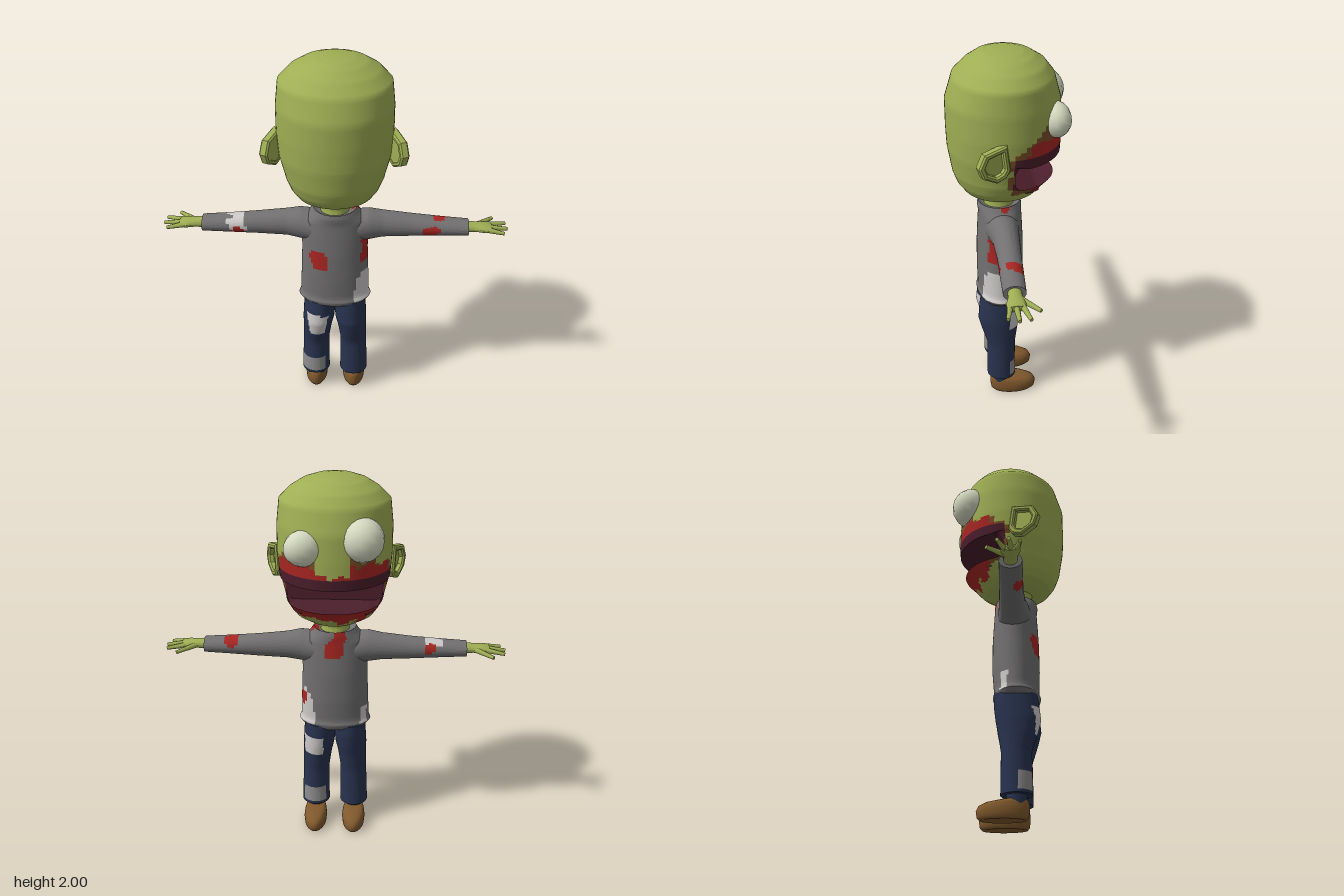
import * as THREE from 'three';
import { toCreasedNormals } from 'three/addons/utils/BufferGeometryUtils.js';

const SEG = 64;
const V = (x, y, z) => new THREE.Vector3(x, y, z);
const mat = (name, color) => {
  const m = new THREE.MeshStandardMaterial({ color });
  m.name = name;
  return m;
};

// Skins closed rings from low to high; pick(centre, band) chooses each face's material
function loft(name, rings, mats, pick = () => 0, sub = 5) {
  const rows = [], bands = [];
  rings.forEach((r, k) => {
    if (k === rings.length - 1) { rows.push(r); return; }
    for (let s = 0; s < sub; s++) {
      rows.push(r.map((p, i) => p.clone().lerp(rings[k + 1][i], s / sub)));
      bands.push(k);
    }
  });
  const n = rings[0].length, pts = rows.flat(), faces = mats.map(() => []);
  const mid = (...ids) => ids.reduce((a, i) => a.add(pts[i]), V(0, 0, 0)).divideScalar(ids.length);
  bands.forEach((k, j) => {
    for (let i = 0; i < n; i++) {
      const a = j * n + i, b = j * n + (i + 1) % n, c = b + n, d = a + n;
      faces[pick(mid(a, b, c, d), k)].push(a, b, c, a, c, d);
    }
  });
  // end caps
  const top = (rows.length - 1) * n, c0 = pts.length;
  for (const start of [0, top]) {
    const c = rows[start / n].reduce((a, p) => a.add(p), V(0, 0, 0)).divideScalar(n);
    pts.push(c);
  }
  for (let i = 0; i < n; i++) {
    const i2 = (i + 1) % n;
    faces[pick(pts[c0], 0)].push(c0, i2, i);
    faces[pick(pts[c0 + 1], rings.length - 2)].push(c0 + 1, top + i, top + i2);
  }
  const geo = new THREE.BufferGeometry().setFromPoints(pts);
  geo.setIndex(faces.flat());
  let start = 0;
  faces.forEach((f, m) => { if (f.length) geo.addGroup(start, f.length, m); start += f.length; });
  const mesh = new THREE.Mesh(toCreasedNormals(geo, 0.9), mats);
  mesh.name = name;
  return mesh;
}

const circle = (fn, n = SEG) => Array.from({ length: n }, (_, i) => {
  const a = i / n * Math.PI * 2;
  return fn(Math.sin(a), Math.cos(a));
});
// Upright ring: height, centre x, half width, back z, face-side z
const ring = ([y, cx, rx, zb, zf]) =>
  circle((s, c) => V(cx + rx * s, y, (zb + zf) / 2 + (zb - zf) / 2 * c));
// Sideways ring: distance out, centre y, half height, z range
const sideRing = side => ([t, cy, ry, zb, zf]) =>
  circle((s, c) => V(side * t, cy - side * ry * s, (zb + zf) / 2 + (zb - zf) / 2 * c));

const wobble = p => 0.012 * Math.sin(p.x * 60 + p.y * 35) + 0.008 * Math.sin(p.z * 90 - p.y * 70);
const near = (p, x, y, z, r) => p.distanceTo(V(x, y, z)) < r + wobble(p) * 0.6;

export function createModel() {
  const model = new THREE.Group();
  const skin = mat('skin', 0x9fae54), shirt = mat('shirt grey', 0x727070), denim = mat('denim', 0x28334f),
    leather = mat('shoe leather', 0x80592d), cloth = mat('torn cloth', 0xcdc9c9), grey = mat('grey patch', 0x8f8d8d),
    eyeWhite = mat('eye', 0xd5dac0), blood = mat('blood', 0xa82622), stain = mat('dried stain', 0x7a4f28),
    mouth = mat('mouth', 0x4b1e2c);
  const add = (...m) => model.add(...m);

  // Head: y, half width, back z, face z, mouth cut depth, height inside the mouth
  const headRings = [
    [1.243, 0.07, 0.11, -0.08], [1.252, 0.14, 0.17, -0.125], [1.28, 0.2, 0.225, -0.16],
    [1.32, 0.228, 0.255, -0.195], [1.37, 0.25, 0.275, -0.235, null, 1.36],
    [1.38, 0.253, 0.278, -0.235, -0.14, 1.325], [1.40, 0.257, 0.282, -0.24, -0.02, 1.36],
    [1.45, 0.27, 0.29, -0.25, -0.015, 1.45], [1.49, 0.28, 0.297, -0.26, -0.06, 1.53],
    [1.51, 0.283, 0.3, -0.267, null, 1.49], [1.545, 0.286, 0.302, -0.27],
    [1.62, 0.292, 0.305, -0.27], [1.76, 0.291, 0.305, -0.265], [1.88, 0.278, 0.268, -0.232],
    [1.935, 0.225, 0.215, -0.19], [1.975, 0.16, 0.16, -0.13], [1.993, 0.1, 0.12, -0.08], [2, 0.05, 0.07, -0.03],
  ].map(([y, rx, zb, zf, clip = null, ym = y]) => circle((s, c) => {
    const z = (zb + zf) / 2 + (zb - zf) / 2 * c;
    const w = THREE.MathUtils.clamp(-z / 0.08, 0, 1);
    const x = rx * s * (clip === null ? 1 : 1 - 0.1 * w);
    return V(x, y + (ym - y) * w, clip === null ? z : Math.max(z, clip));
  }));
  const headPaint = (p, k) => {
    const { x, y, z } = p, wob = wobble(p);
    if (k >= 4 && k <= 9 && z < -0.012) return 3;
    if (z > 0.015 + wob) return 0;
    if (k < 4) {
      if (z < -0.1 && y > (x < 0 ? 1.285 : 1.31) + wob) return 1;
      return y > 1.33 + wob && k === 3 ? 2 : 0;
    }
    if (k < 10) return 2;
    const limit = x > 0 ? 1.54 - z * 0.85 : 1.54 - z * 0.45;
    if (Math.abs(x) < 0.09) return y < 1.565 + wob ? 1 : 0;
    if (z < -0.08 && y < 1.61 + wob) return 1;
    return y < limit + wob && y < 1.7 ? 2 : 0;
  };
  add(loft('head', headRings, [skin, blood, stain, mouth], headPaint, 6));

  // Bulging eyes of unequal size
  for (const [name, x, y, z, rx, ry, rz] of [
    ['leftEye', 0.14, 1.69, -0.218, 0.1, 0.09, 0.078],
    ['rightEye', -0.14, 1.73, -0.2, 0.11, 0.11, 0.105]]) {
    const eye = new THREE.Mesh(new THREE.SphereGeometry(1, 14, 10), eyeWhite);
    eye.name = name;
    eye.position.set(x, y, z);
    eye.scale.set(rx, ry, rz);
    eye.rotation.y = x > 0 ? 0.3 : -0.3;
    add(eye);
  }

  // Ears: a rim around a sunken plate, flared outwards
  const outline = [[0, 1.5], [0.025, 1.465], [0.075, 1.45], [0.15, 1.49], [0.172, 1.545], [0.14, 1.61], [0.02, 1.635]]
    .map(([u, v]) => new THREE.Vector2(u, v));
  const inner = outline.map(p => new THREE.Vector2(0.08 + (p.x - 0.08) * 0.62, 1.54 + (p.y - 1.54) * 0.65));
  const rim = new THREE.Shape(outline);
  rim.holes.push(new THREE.Path(inner));
  const extrude = (shape, depth, bevel) => new THREE.ExtrudeGeometry(shape,
    { depth, bevelEnabled: bevel > 0, bevelSize: bevel, bevelThickness: bevel, bevelOffset: -bevel, bevelSegments: 1 });
  for (const side of [1, -1]) {
    const ear = new THREE.Group(), tilt = new THREE.Group();
    ear.name = side > 0 ? 'leftEar' : 'rightEar';
    const plate = new THREE.Mesh(extrude(new THREE.Shape(inner.map(p =>
      new THREE.Vector2(0.08 + (p.x - 0.08) * 1.15, 1.54 + (p.y - 1.54) * 1.15))), 0.015, 0), skin);
    plate.position.z = 0.02;
    plate.name = 'earHollow';
    const edge = new THREE.Mesh(extrude(rim, 0.03, 0.008), skin);
    edge.name = 'earRim';
    tilt.add(edge, plate);
    tilt.rotation.y = -Math.PI / 2 + 0.42;
    tilt.position.set(0.29, 0, 0.01);
    ear.add(tilt);
    ear.scale.x = side;
    add(ear);
  }

  // Neck
  add(loft('neck', [[1.15, 0, 0.08, 0.125, -0.04], [1.21, 0, 0.072, 0.115, -0.03], [1.27, 0, 0.09, 0.135, -0.06]]
    .map(ring), [skin]));

  // Jumper body with patches and stains
  add(loft('jumper', [
    [0.615, 0, 0.15, 0.14, -0.06], [0.63, 0, 0.18, 0.16, -0.075], [0.65, 0, 0.195, 0.166, -0.082],
    [0.67, 0, 0.185, 0.158, -0.075], [0.8, 0, 0.18, 0.162, -0.085], [0.95, 0, 0.174, 0.16, -0.085],
    [1.05, 0, 0.175, 0.155, -0.08], [1.13, 0, 0.165, 0.15, -0.075], [1.17, 0, 0.128, 0.155, -0.075],
    [1.195, 0, 0.112, 0.15, -0.07], [1.18, 0, 0.085, 0.13, -0.05],
  ].map(ring), [shirt, blood, cloth], p => {
    const { x, y, z } = p;
    if (near(p, -0.085, 0.915, 0.15, 0.06) || near(p, 0.18, 0.79, -0.01, 0.042) || near(p, 0, 1.1, -0.08, 0.055)
      || near(p, 0.09, 1.18, 0.02, 0.04) || near(p, -0.03, 1.17, -0.08, 0.04)) return 1;
    if (x > 0.14 && y > 0.9 && y < 1.03 && z > 0.04 && z < 0.13) return 1;
    if (y > 0.645 && y < 0.83 + wobble(p) && x > 0.1 + (y - 0.65) * 0.15) return 2;
    return x < -0.14 && z < 0 && y > 0.65 && y < 0.75 ? 2 : 0;
  }));

  for (const side of [1, -1]) {
    const word = side > 0 ? 'left' : 'right', out = sideRing(side);

    // Sleeve
    add(loft(word + 'Sleeve', [
      [0.1, 1.075, 0.085, 0.125, -0.055], [0.18, 1.085, 0.085, 0.11, -0.045], [0.25, 1.085, 0.072, 0.095, -0.04],
      [0.4, 1.08, 0.06, 0.088, -0.032], [0.55, 1.077, 0.049, 0.09, -0.026], [0.695, 1.075, 0.04, 0.09, -0.02],
    ].map(out), [shirt, blood, cloth], p => {
      if (side > 0) return near(p, 0.55, 1.11, 0.01, 0.045) || near(p, 0.5, 1.07, 0.085, 0.035)
        || (p.x < 0.26 && p.y < 1.025 && p.z > 0.03) ? 1 : 0;
      if (near(p, -0.52, 1.045, 0.07, 0.035) || near(p, -0.5, 1.09, -0.03, 0.03)) return 1;
      return p.x > -0.55 + wobble(p) && p.x < -0.465 + wobble(p) && p.y > 1.06 && p.z > -0.015 ? 2 : 0;
    }, 8));

    // Hand: flat palm, three fingers and a thumb
    const hand = new THREE.Group();
    hand.name = word + 'Hand';
    hand.add(loft('palm', [[0.68, 1.078, 0.03, 0.068, 0.002], [0.73, 1.078, 0.024, 0.07, 0.002],
      [0.78, 1.077, 0.022, 0.085, -0.008], [0.815, 1.075, 0.016, 0.08, 0.0]].map(out), [skin], () => 0, 2));
    for (const [x0, z0, x1, z1, r] of [[0.735, 0.02, 0.83, -0.07, 0.016], [0.79, 0.012, 0.893, -0.018, 0.015],
      [0.79, 0.04, 0.9, 0.035, 0.016], [0.79, 0.066, 0.88, 0.085, 0.015]]) {
      const a = V(side * x0, 1.077, z0), b = V(side * x1, 1.068, z1);
      const finger = new THREE.Mesh(new THREE.CylinderGeometry(r * 0.6, r, a.distanceTo(b), 8), skin);
      finger.name = 'finger';
      finger.position.copy(a).lerp(b, 0.5);
      finger.quaternion.setFromUnitVectors(V(0, 1, 0), b.sub(a).normalize());
      hand.add(finger);
    }
    add(hand);

    // Trouser leg
    add(loft(word + 'TrouserLeg', [
      [0.12, 0.107, 0.077, 0.12, -0.037], [0.2, 0.107, 0.075, 0.12, -0.035], [0.34, 0.104, 0.072, 0.118, -0.035],
      [0.44, 0.096, 0.079, 0.15, -0.05], [0.5, 0.089, 0.086, 0.165, -0.062], [0.58, 0.083, 0.087, 0.158, -0.072],
      [0.64, 0.08, 0.085, 0.15, -0.07],
    ].map(([y, cx, ...r]) => ring([y, side * cx, ...r])), [denim, cloth, grey], ({ x, y, z }) => {
      const slant = 0.15 * (x + 0.1);
      if (side < 0 && z > 0.05) {
        if (x > -0.15 + (0.56 - y) * 0.1 && x < -0.03 - (0.56 - y) * 0.2 && y > 0.42 && y < 0.56 - slant) return 1;
        return x < -0.055 && y > 0.13 && y < 0.225 ? 2 : 0;
      }
      if (side > 0 && z < 0.0) {
        if (x > 0.06 && y > 0.45 && y < 0.57) return 1;
        return x > 0.05 && y > 0.14 && y < 0.2 + slant ? 2 : 0;
      }
      return 0;
    }));

    // Ankle and rounded shoe
    const ankle = new THREE.Mesh(new THREE.CylinderGeometry(0.055, 0.05, 0.08, 20), denim);
    ankle.name = word + 'Ankle';
    ankle.position.set(side * 0.108, 0.11, 0.042);
    add(ankle);
    add(loft(word + 'Shoe', [
      [0, 0.108, 0.054, 0.09, -0.135], [0.012, 0.108, 0.061, 0.1, -0.148], [0.045, 0.108, 0.064, 0.105, -0.153],
      [0.07, 0.108, 0.061, 0.105, -0.14], [0.085, 0.108, 0.056, 0.102, -0.11], [0.097, 0.108, 0.046, 0.095, -0.05],
    ].map(([y, cx, ...r]) => ring([y, side * cx, ...r])), [leather], () => 0, 2));
  }
  return model;
}
